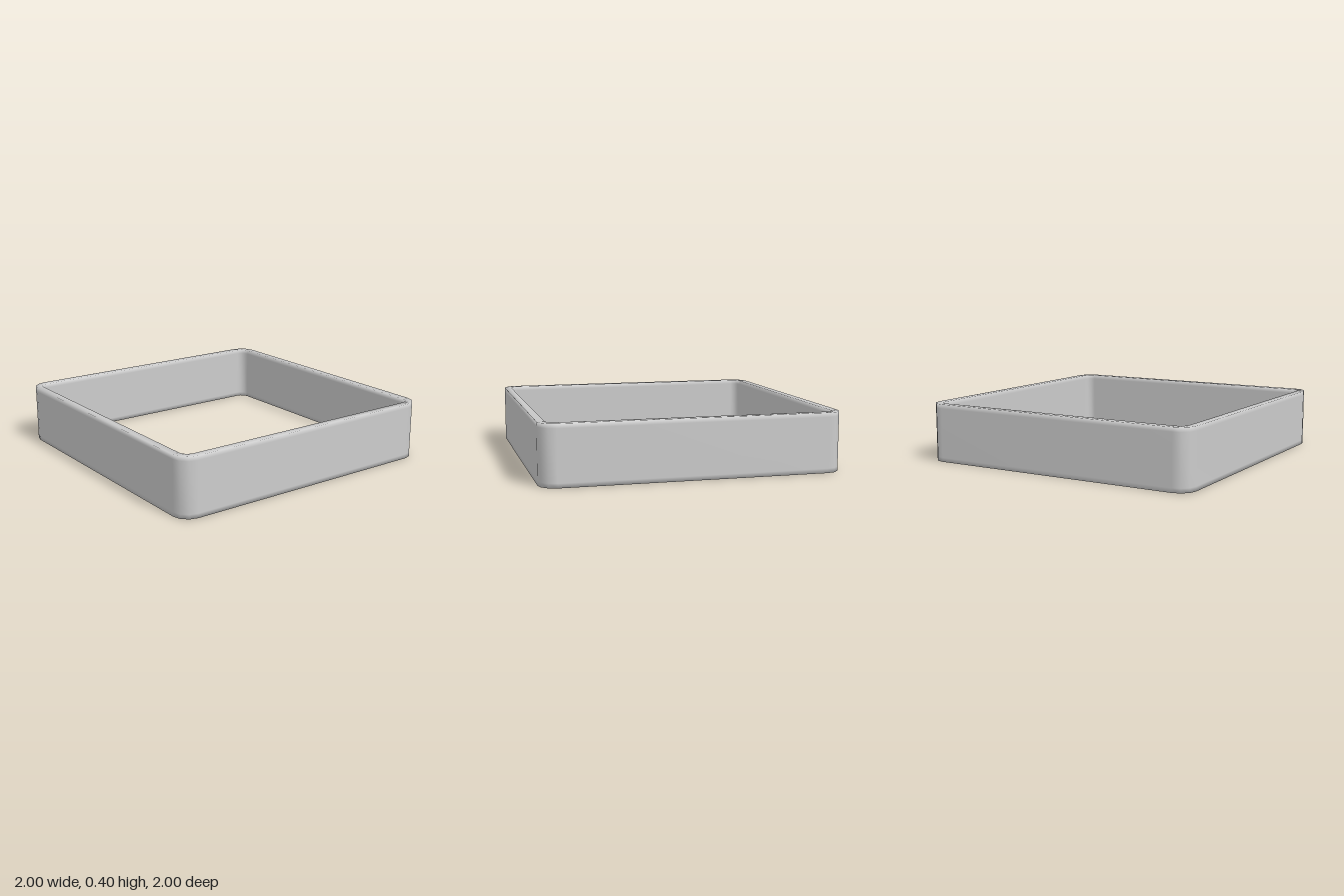
import * as THREE from 'three';

const HALF = 1, HEIGHT = 0.4, WALL = 0.05, RADIUS = 0.11, STEPS = 3, EDGE = 0.03;

// Wall cross-section as [inset from outer face, y]; extra loops near the rims keep the soft edge narrow
const PROFILE = [
  [0, 0], [0, EDGE], [0, HEIGHT - EDGE], [0, HEIGHT],
  [WALL, HEIGHT], [WALL, HEIGHT - EDGE], [WALL, EDGE], [WALL, 0],
];

// Sweep the cross-section round a square with rounded corners
function frameGeometry() {
  const positions = [], index = [];
  const n = PROFILE.length, rings = 4 * (STEPS + 1);
  for (let corner = 0; corner < 4; corner++) {
    const mid = (corner + 0.5) * Math.PI / 2;
    const cx = Math.sign(Math.cos(mid)) * (HALF - RADIUS);
    const cz = Math.sign(Math.sin(mid)) * (HALF - RADIUS);
    for (let s = 0; s <= STEPS; s++) {
      const a = (corner + s / STEPS) * Math.PI / 2;
      for (const [inset, y] of PROFILE) {
        const r = RADIUS - inset;
        positions.push(cx + r * Math.cos(a), y, cz + r * Math.sin(a));
      }
    }
  }
  for (let i = 0; i < rings; i++) {
    const here = i * n, next = ((i + 1) % rings) * n;
    for (let j = 0; j < n; j++) {
      const k = (j + 1) % n;
      index.push(here + j, here + k, next + k, here + j, next + k, next + j);
    }
  }
  const geometry = new THREE.BufferGeometry();
  geometry.setAttribute('position', new THREE.Float32BufferAttribute(positions, 3));
  geometry.setIndex(index);
  geometry.computeVertexNormals();
  return geometry;
}

export function createModel() {
  const group = new THREE.Group();
  group.name = 'squareRing';
  // Open square frame
  const frame = new THREE.Mesh(frameGeometry(), new THREE.MeshStandardMaterial({ color: 0xcccccc }));
  frame.name = 'frame';
  group.add(frame);
  return group;
}
